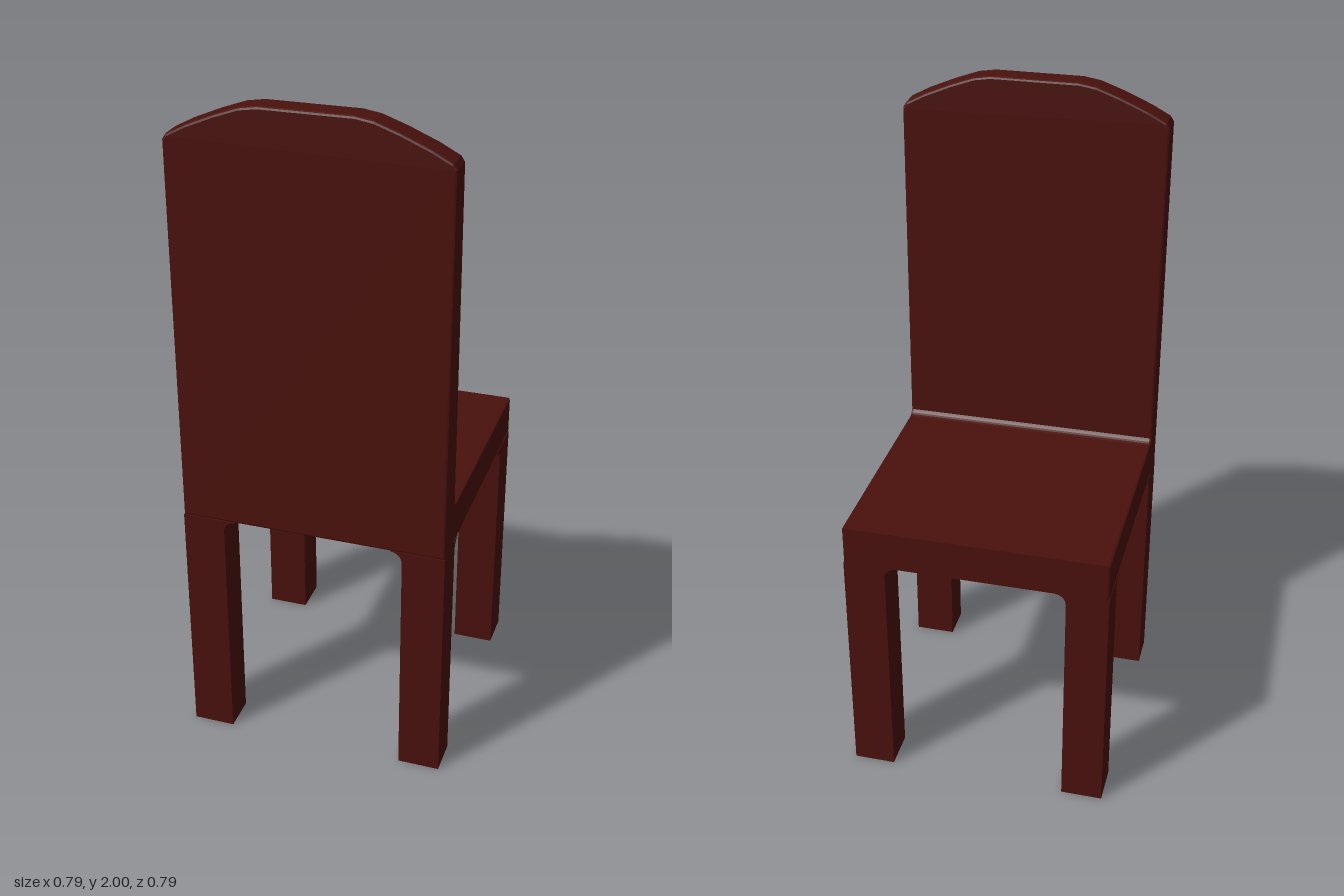
import * as THREE from 'three';

const HALF = 0.395;        // half width and half depth of the chair
const SEAT_BOTTOM = 0.75;
const SEAT_TOP = 0.87;
const BEVEL = 0.007;

const wood = new THREE.MeshStandardMaterial({ color: 0x4a110d });

function part(name, geometry) {
  const mesh = new THREE.Mesh(geometry, wood);
  mesh.name = name;
  return mesh;
}

// Extrude to an exact depth, with a small rounded edge kept inside the outline
function slab(shape, depth) {
  return new THREE.ExtrudeGeometry(shape, {
    depth: depth - 2 * BEVEL, bevelEnabled: true, bevelSize: BEVEL, bevelOffset: -BEVEL,
    bevelThickness: BEVEL, bevelSegments: 2, curveSegments: 8,
  }).translate(0, 0, BEVEL);
}

// Square leg whose two inner faces flare into the seat with a concave fillet
function legGeometry(sx, sz, width, depth) {
  const radius = 0.035, steps = 8;
  const geo = new THREE.BoxGeometry(width, 1, depth, 1, steps + 1, 1);
  const pos = geo.attributes.position;
  for (let i = 0; i < pos.count; i++) {
    const row = Math.round((pos.getY(i) + 0.5) * (steps + 1));
    const angle = (Math.max(row - 1, 0) / steps) * Math.PI / 2;
    const flare = radius * (1 - Math.cos(angle));
    const y = row === 0 ? 0 : SEAT_BOTTOM - radius * (1 - Math.sin(angle));
    let x = pos.getX(i), z = pos.getZ(i);
    if (x * sx < 0) x -= sx * flare;
    if (z * sz < 0) z -= sz * flare;
    pos.setXYZ(i, x + sx * (HALF - width / 2), y, z + sz * (HALF - depth / 2));
  }
  geo.computeVertexNormals();
  return geo;
}

export function createModel() {
  const chair = new THREE.Group();
  chair.name = 'chair';

  // Seat: side profile swept across the width, curving up into the backrest
  const profile = new THREE.Shape();
  profile.moveTo(-HALF, SEAT_BOTTOM);
  profile.lineTo(0.33, SEAT_BOTTOM);
  profile.lineTo(0.33, 0.91);
  profile.lineTo(0.305, 0.91);
  profile.quadraticCurveTo(0.302, SEAT_TOP, 0.27, SEAT_TOP);
  profile.lineTo(-HALF, SEAT_TOP);
  profile.closePath();
  const seat = slab(profile, 2 * HALF).rotateY(-Math.PI / 2).translate(HALF, 0, 0);
  chair.add(part('seat', seat));

  // Backrest: tall panel with an arched top, thinning slightly upwards
  const arch = [[HALF, 1.888], [0.385, 1.904], [0.33, 1.933], [0.25, 1.967], [0.18, 1.992], [0.13, 2]];
  const outline = new THREE.Shape();
  outline.moveTo(-HALF, SEAT_BOTTOM);
  outline.lineTo(HALF, SEAT_BOTTOM);
  arch.forEach(([x, y]) => outline.lineTo(x, y));
  arch.slice().reverse().forEach(([x, y]) => outline.lineTo(-x, y));
  outline.closePath();
  const back = slab(outline, 0.1).translate(0, 0, HALF - 0.1);
  const pos = back.attributes.position;
  for (let i = 0; i < pos.count; i++) {
    if (pos.getZ(i) < 0.34) {
      pos.setZ(i, pos.getZ(i) + 0.024 * (pos.getY(i) - SEAT_BOTTOM) / (2 - SEAT_BOTTOM));
    }
  }
  back.computeVertexNormals();
  chair.add(part('backrest', back));

  // Legs: the backrest pair is at +z
  for (const sx of [-1, 1]) {
    for (const sz of [-1, 1]) {
      const name = (sx > 0 ? 'left' : 'right') + (sz > 0 ? 'BackrestLeg' : 'SeatEdgeLeg');
      chair.add(part(name, legGeometry(sx, sz, 0.125, sz > 0 ? 0.108 : 0.118)));
    }
  }
  return chair;
}
